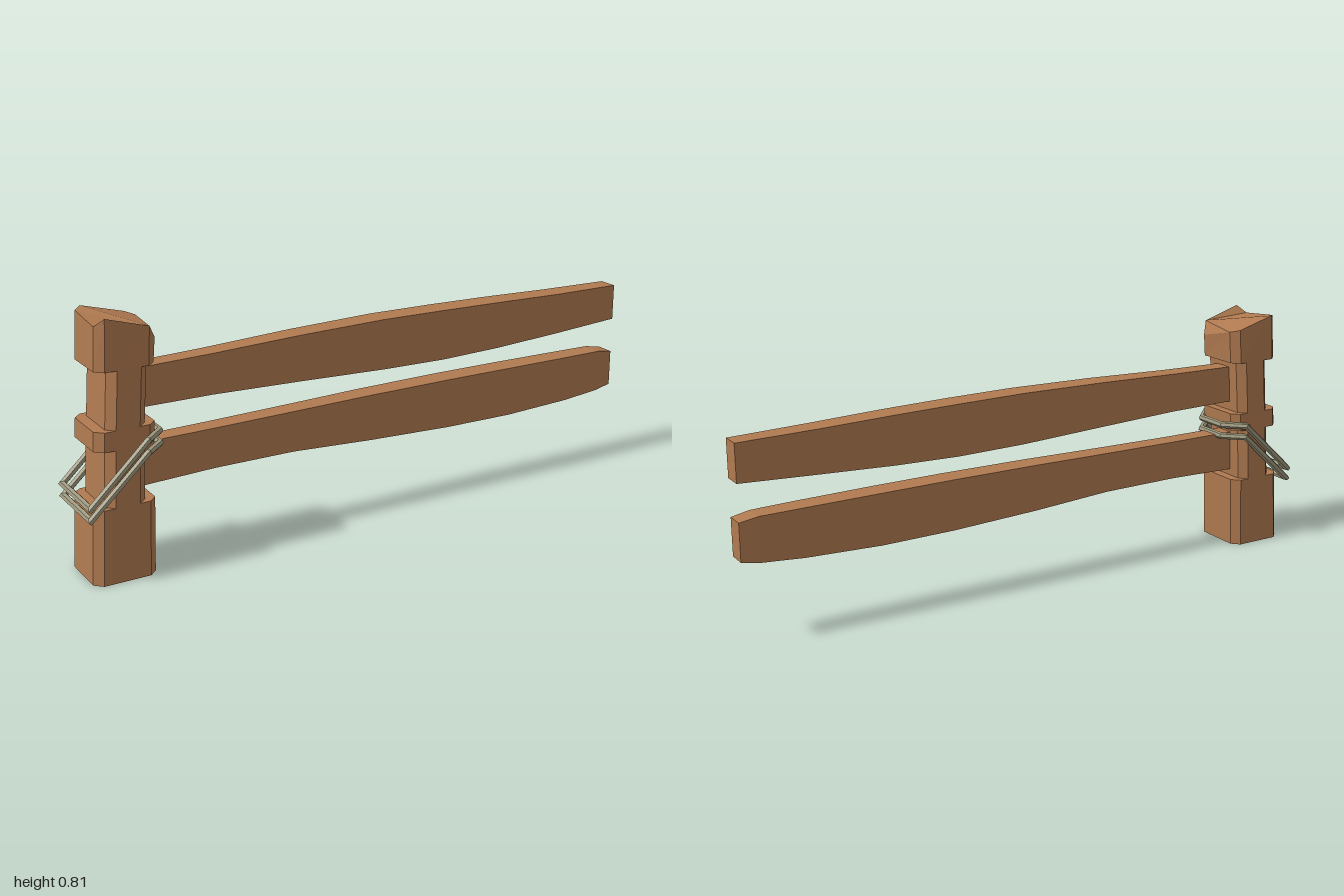
import * as THREE from 'three';

// Skin a list of equal-length rings; rings run anticlockwise about the loft direction
function loft(rings, closed = false) {
  const pos = [];
  const tri = (a, b, c) => [a, b, c].forEach((p) => pos.push(p.x, p.y, p.z));
  const n = rings[0].length;
  const last = rings.length - 1;
  for (let r = 0; r < (closed ? rings.length : last); r++) {
    const a = rings[r], b = rings[(r + 1) % rings.length];
    for (let i = 0; i < n; i++) {
      const j = (i + 1) % n;
      tri(a[i], a[j], b[j]);
      tri(a[i], b[j], b[i]);
    }
  }
  if (!closed) {
    for (let i = 1; i < n - 1; i++) {
      tri(rings[0][0], rings[0][i + 1], rings[0][i]);
      tri(rings[last][0], rings[last][i], rings[last][i + 1]);
    }
  }
  const geo = new THREE.BufferGeometry();
  geo.setAttribute('position', new THREE.Float32BufferAttribute(pos, 3));
  geo.computeVertexNormals();
  return geo;
}

const V = (x, y, z) => new THREE.Vector3(x, y, z);

// Rectangle with cut corners; heights optionally gives each corner its own y
function postRing(x0, x1, y, hz, heights) {
  const c = 0.025, k = hz - c;
  return [
    [x1 - c, hz], [x1, k], [x1, -k], [x1 - c, -hz],
    [x0 + c, -hz], [x0, -k], [x0, k], [x0 + c, hz],
  ].map(([x, z], i) => V(x, heights ? heights[i] : y, z));
}

// Rail stations: x, bottom, top, back z, front z
function railGeometry(stations) {
  return loft(stations.map(([x, y0, y1, z0, z1]) =>
    [V(x, y0, z0), V(x, y1, z0), V(x, y1, z1), V(x, y0, z1)]));
}

// Closed rope with mitred corners
function ropeGeometry(points, radius, sides) {
  const n = points.length;
  const dir = (i) => points[(i + 1) % n].clone().sub(points[(i + n) % n]).normalize();
  const first = dir(0);
  const u = V(0, 1, 0).cross(first).normalize();
  const w = first.clone().cross(u);
  let ring = [];
  for (let s = 0; s < sides; s++) {
    const a = ((s + 0.5) / sides) * Math.PI * 2;
    ring.push(points[0].clone()
      .addScaledVector(u, Math.cos(a) * radius)
      .addScaledVector(w, Math.sin(a) * radius));
  }
  const rings = [];
  for (let i = 0; i < n; i++) {
    const along = dir(i === 0 ? 0 : i - 1);
    const miter = dir(i).add(dir(i - 1 + n)).normalize();
    ring = ring.map((p) => {
      const t = points[i].clone().sub(p).dot(miter) / along.dot(miter);
      return p.clone().addScaledVector(along, t);
    });
    rings.push(ring);
  }
  return loft(rings, true);
}

export function createModel() {
  const wood = new THREE.MeshStandardMaterial({ color: 0xb07a50 });
  const cord = new THREE.MeshStandardMaterial({ color: 0xa09a80 });
  wood.name = 'wood';
  cord.name = 'rope';
  wood.flatShading = cord.flatShading = true;

  const model = new THREE.Group();
  model.name = 'fenceSection';
  const add = (name, geo, mat) => {
    const mesh = new THREE.Mesh(geo, mat);
    mesh.name = name;
    model.add(mesh);
  };

  // Leaning post, notched on its two narrow sides, with a sloping cut top
  add('post', loft([
    postRing(-0.982, -0.782, 0, 0.101),
    postRing(-0.967, -0.772, 0.238, 0.1),
    postRing(-0.932, -0.805, 0.238, 0.1),
    postRing(-0.921, -0.795, 0.415, 0.098),
    postRing(-0.955, -0.765, 0.415, 0.098),
    postRing(-0.951, -0.761, 0.475, 0.097),
    postRing(-0.916, -0.792, 0.475, 0.097),
    postRing(-0.902, -0.778, 0.653, 0.096),
    postRing(-0.94, -0.755, 0.653, 0.096),
    postRing(-0.931, -0.747, 0, 0.094,
      [0.77, 0.727, 0.76, 0.768, 0.805, 0.8, 0.785, 0.81]),
  ]), wood);

  // Rails
  add('upperRail', railGeometry([
    [-0.85, 0.507, 0.628, -0.031, 0.03],
    [-0.55, 0.505, 0.634, -0.036, 0.032],
    [-0.25, 0.495, 0.644, -0.043, 0.034],
    [0.05, 0.483, 0.649, -0.047, 0.036],
    [0.28, 0.479, 0.646, -0.046, 0.039],
    [0.5, 0.484, 0.641, -0.044, 0.04],
    [0.75, 0.495, 0.633, -0.04, 0.037],
    [1, 0.507, 0.628, -0.036, 0.03],
  ]), wood);
  add('lowerRail', railGeometry([
    [-0.85, 0.259, 0.396, -0.031, 0.03],
    [-0.55, 0.268, 0.397, -0.035, 0.031],
    [-0.28, 0.267, 0.4, -0.038, 0.033],
    [0, 0.251, 0.404, -0.041, 0.036],
    [0.3, 0.239, 0.405, -0.042, 0.039],
    [0.55, 0.236, 0.403, -0.041, 0.04],
    [0.8, 0.244, 0.4, -0.038, 0.038],
    [0.94, 0.255, 0.398, -0.036, 0.034],
    [1, 0.266, 0.388, -0.034, 0.03],
  ]), wood);

  // Two slanting rope loops slung around the post
  [['lowerRope', 0.222, 0.396, 0.111], ['upperRope', 0.259, 0.435, 0.114]]
    .forEach(([name, low, high, z]) => {
      add(name, ropeGeometry([
        V(-0.988, low, z), V(-0.8, high, z), V(-0.74, high, 0.055),
        V(-0.74, high, -0.055), V(-0.8, high, -z), V(-0.988, low, -z),
      ], 0.011, 6), cord);
    });

  return model;
}
